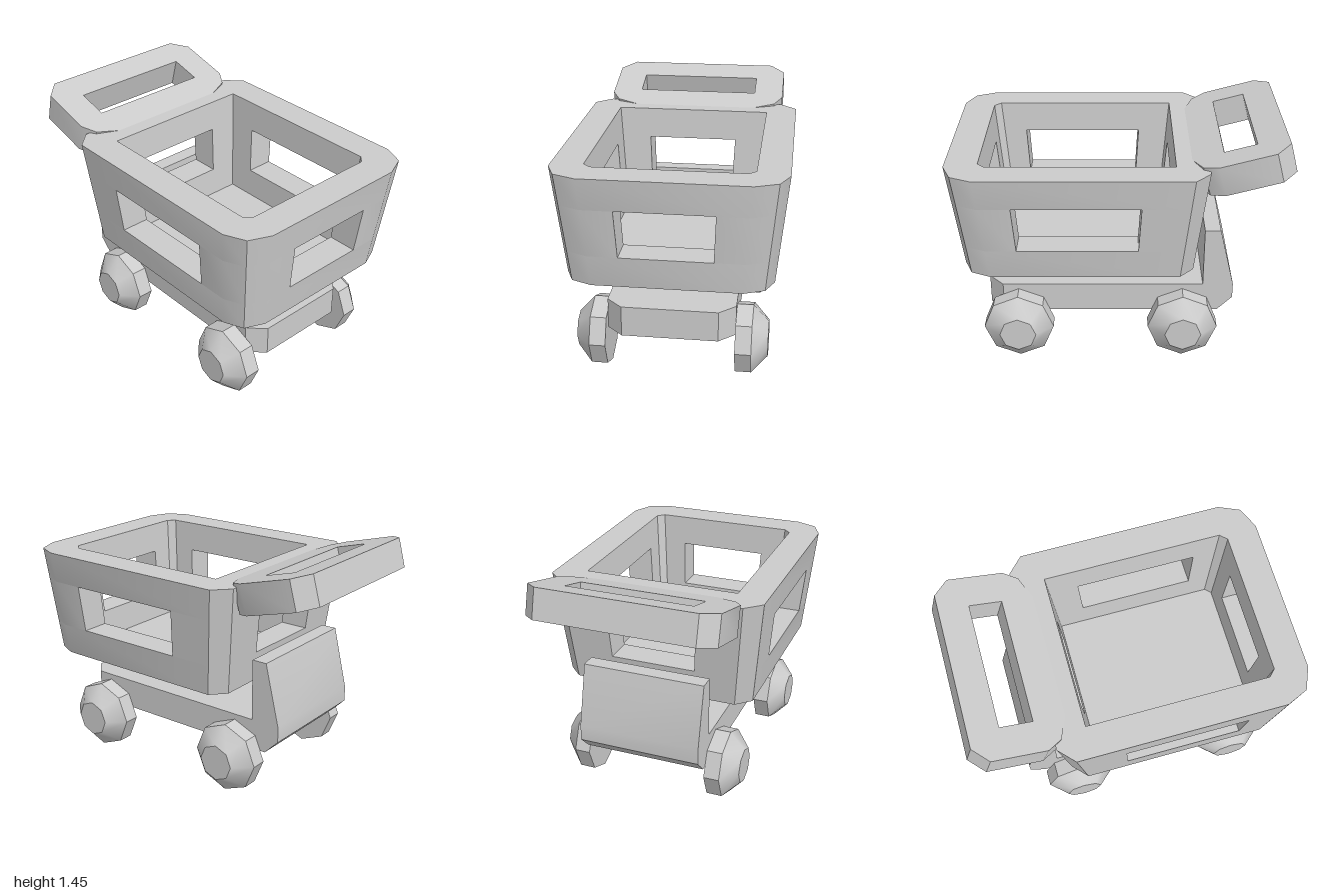
import * as THREE from 'three';
import { toCreasedNormals } from 'three/addons/utils/BufferGeometryUtils.js';

const CREASE = 0.6;
const CENTRE_Z = 0.2475; // middle of the basket
const BOTTOM = 0.65, SILL = 0.835, LINTEL = 1.12, RIM = 1.305;

const toShape = (pts) => new THREE.Shape(pts.map(([x, y]) => new THREE.Vector2(x, y)));
const toPath = (pts) => new THREE.Path(pts.map(([x, y]) => new THREE.Vector2(x, y)));
const flip = (pts) => pts.map(([x, y]) => [-x, y]);
// Closes a half outline by mirroring it across x = 0
const symmetric = (half) => [...half, ...flip(half).reverse()];

// Extrudes a plan (x, distance towards the back) upwards
function slab(shape, y0, y1) {
  return new THREE.ExtrudeGeometry(shape, { depth: y1 - y0, bevelEnabled: false })
    .rotateX(-Math.PI / 2).translate(0, y0, 0);
}

// Narrows basket layers towards the bottom
function taper(geometry) {
  const p = geometry.attributes.position;
  for (let i = 0; i < p.count; i++) {
    const s = 0.9 + 0.1 * (p.getY(i) - BOTTOM) / (RIM - BOTTOM);
    p.setXYZ(i, p.getX(i) * s, p.getY(i), p.getZ(i) * s + CENTRE_Z);
  }
  return geometry;
}

export function createModel() {
  const model = new THREE.Group();
  model.name = 'shoppingCart';
  const grey = new THREE.MeshStandardMaterial({ color: 0xcccccc });
  grey.name = 'light grey';

  function add(parent, name, geometry) {
    const mesh = new THREE.Mesh(toCreasedNormals(geometry, CREASE), grey);
    mesh.name = name;
    parent.add(mesh);
    return mesh;
  }

  // Basket: two full rings with four corner posts between, leaving the windows
  const basket = new THREE.Group();
  basket.name = 'basket';
  model.add(basket);
  const frontOuter = [[0.47, -0.7525], [0.6, -0.6975], [0.655, -0.5725]];
  const backOuter = [[0.655, 0.6625], [0.56, 0.7525]];
  const frontInner = [[0.43, -0.5625], [0.47, -0.5225]];
  const backInner = [[0.47, 0.5625]];
  const ring = toShape(symmetric([...frontOuter, ...backOuter]));
  ring.holes.push(toPath(symmetric([...frontInner, ...backInner])));
  add(basket, 'lowerBand', taper(slab(ring, BOTTOM, SILL)));
  add(basket, 'rimBand', taper(slab(ring, LINTEL, RIM)));

  const wx = 0.283, wz = 0.378; // half widths of the windows
  const frontPost = [[wx, -0.7525], ...frontOuter, [0.655, -wz], [0.47, -wz],
    ...[...frontInner].reverse(), [wx, -0.5625]];
  const backPost = [[0.655, wz], ...backOuter, [wx, 0.7525], [wx, 0.5625], ...backInner, [0.47, wz]];
  for (const [name, post] of [['FrontPost', frontPost], ['BackPost', backPost]]) {
    add(basket, 'left' + name, taper(slab(toShape(post), SILL, LINTEL)));
    add(basket, 'right' + name, taper(slab(toShape(flip(post)), SILL, LINTEL)));
  }
  add(basket, 'basketFloor', new THREE.BoxGeometry(0.846, 0.015, 1.012).translate(0, 0.6545, CENTRE_Z));

  // Tilted push handle with a grip slot
  const handle = toShape(symmetric([[0.38, 0], [0.51, 0.055], [0.56, 0.14], [0.56, 0.47], [0.47, 0.56]]));
  handle.holes.push(toPath(symmetric([[0.377, 0.186], [0.377, 0.38]])));
  add(model, 'handle', slab(handle, -0.18, 0).rotateX(0.262).translate(0, RIM, -0.41));

  // Chassis deck with cut front corners
  const deck = toShape(symmetric([[0.28, -0.81], [0.375, -0.72], [0.375, 0.505]]));
  add(model, 'chassisDeck', slab(deck, 0.275, 0.46));

  // Upright at the back of the chassis: side profile drawn as (z, y)
  const upright = toShape([[-0.505, 0.275], [-0.505, 0.835], [-0.6, 0.835],
    [-0.69, 0.46], [-0.69, 0.365], [-0.6, 0.275]]);
  add(model, 'backUpright', new THREE.ExtrudeGeometry(upright, { depth: 0.75, bevelEnabled: false })
    .rotateY(-Math.PI / 2).scale(1, 1, 1).translate(0.375, 0, 0));

  // Eight-sided wheels with a conical outer face
  const profile = [[0, 0], [0.213, 0], [0.213, 0.095], [0.11, 0.187], [0, 0.187]]
    .map(([r, h]) => new THREE.Vector2(r, h));
  for (const [end, z] of [['Front', 0.625], ['Back', -0.38]]) {
    for (const [side, s] of [['left', 1], ['right', -1]]) {
      const wheel = new THREE.LatheGeometry(profile, 8).rotateZ(-s * Math.PI / 2);
      add(model, side + end + 'Wheel', wheel.translate(s * 0.375, 0.213, z));
    }
  }
  return model;
}
